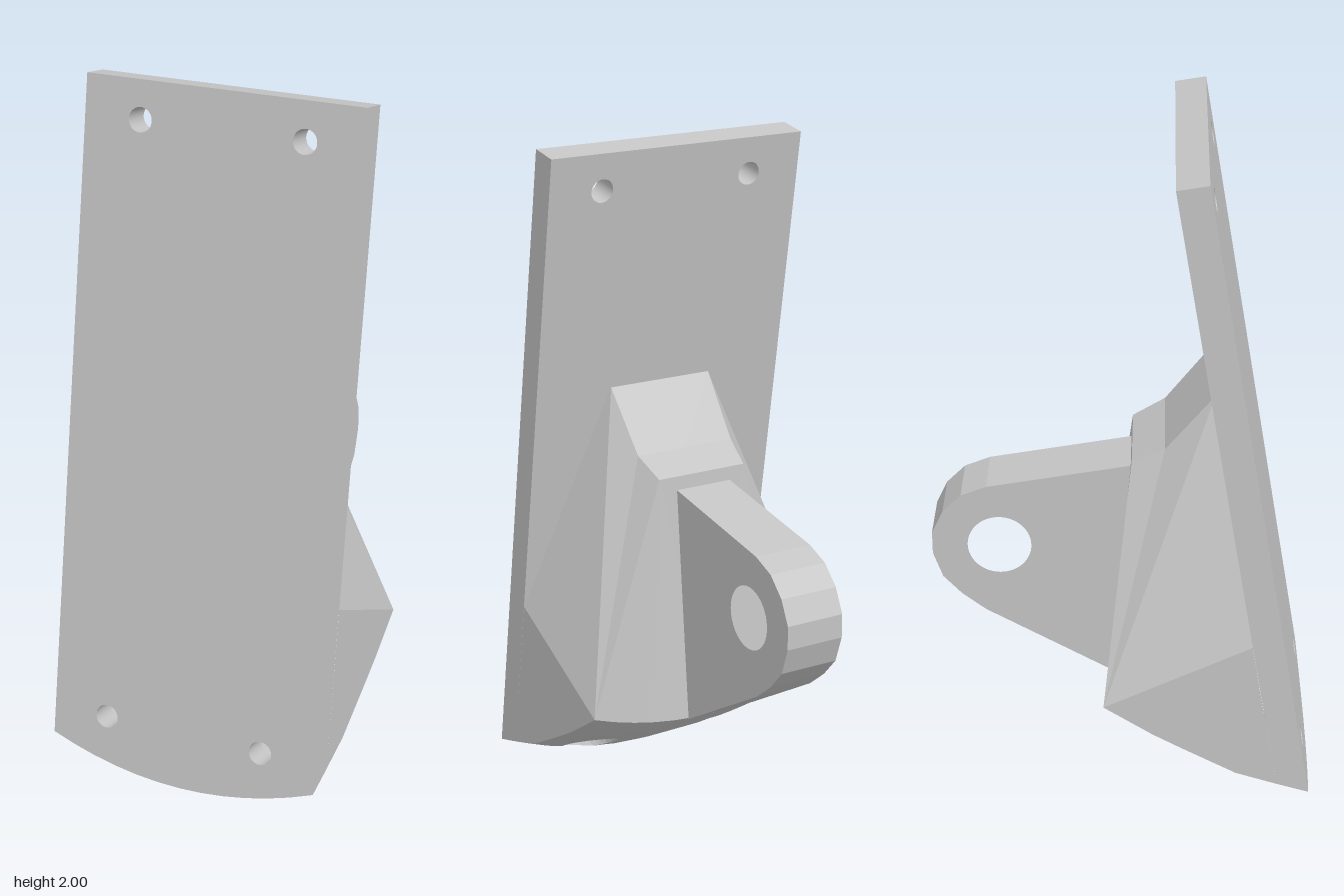
import * as THREE from 'three';

const TILT = 0.166, C = Math.cos(TILT), S = Math.sin(TILT);
const FRONT = 0.565, HALF = 0.415, THICK = 0.09, LENGTH = 2.028;
const N = 6;               // segments along each edge of the underside
const S0 = 0.0436, S1 = 0.39; // underside start (plate back) and end
const HOLE = { x: 0.245, low: 0.167, high: 1.917, r: 0.035, bore: 0.073 };

// Curved bottom edge of the plate, and depth of the underside behind the plate front
const bottom = x => 0.081 * (x / HALF) ** 2;
const PROFILE = [[0, 0], [0.093, 0.192], [0.261, 0.407], [0.39, 0.547]];
function depth(s) {
  let i = 0;
  while (i < 2 && s > PROFILE[i + 1][0]) i++;
  const [a, b] = [PROFILE[i], PROFILE[i + 1]];
  return a[1] + (b[1] - a[1]) * (s - a[0]) / (b[0] - a[0]);
}

// Point from plate coordinates: across, along the plate, behind its front
const onPlate = (x, u, w) => [x, u * C - w * S, FRONT - u * S - w * C];
const under = (x, u) => onPlate(x, u, depth(u - bottom(x)));

// Collects faces for the +x half and mirrors each one
function mirroredFaces() {
  const pos = [];
  const tri = (a, b, c) => {
    pos.push(...a, ...b, ...c);
    for (const p of [a, c, b]) pos.push(-p[0], p[1], p[2]);
  };
  const quad = (a, b, c, d) => { tri(a, b, c); tri(a, c, d); };
  const geometry = () => {
    const g = new THREE.BufferGeometry();
    g.setAttribute('position', new THREE.Float32BufferAttribute(pos, 3));
    g.computeVertexNormals();
    return g;
  };
  return { tri, quad, geometry };
}

function plateGeometry() {
  const shape = new THREE.Shape();
  shape.moveTo(-HALF, LENGTH);
  for (let i = -N; i <= N; i++) shape.lineTo(HALF * i / N, bottom(HALF * i / N));
  shape.lineTo(HALF, LENGTH);
  shape.closePath();
  for (const x of [-HOLE.x, HOLE.x]) for (const y of [HOLE.low, HOLE.high]) {
    shape.holes.push(new THREE.Path().absarc(x, y, HOLE.r, 0, Math.PI * 2, true));
  }
  const g = new THREE.ExtrudeGeometry(shape, { depth: THICK, bevelEnabled: false, curveSegments: 20 });
  g.translate(0, 0, -THICK);
  // bevel the bottom edge to follow the underside
  const p = g.attributes.position;
  for (let i = 0; i < p.count; i++) {
    if (p.getZ(i) < -0.08 && p.getY(i) < 0.09) p.setY(i, p.getY(i) + S0);
  }
  g.computeVertexNormals();
  g.rotateX(-TILT);
  g.translate(0, 0, FRONT);
  return g;
}

// Faceted block behind the plate: ridge, slanted flanks, cheeks and back
function blockGeometry() {
  const f = mirroredFaces();
  const ridge = [[0.168, 1.265, 0.26], [0.16, 1.09, 0.12], [0.145, 1.04, 0.025]];
  const mid = ridge.map(p => [0, p[1], p[2]]);
  const shoulder = [HALF, 0.585, 0.375];
  const side = [], back = [];
  for (let i = 0; i <= N; i++) {
    side.push(under(HALF, bottom(HALF) + S0 + (S1 - S0) * i / N));
    const x = HALF * i / N;
    back.push(under(x, bottom(x) + S1));
  }
  const heel = side[N];
  f.tri(ridge[0], shoulder, heel);
  for (let i = 0; i < 2; i++) {
    f.tri(ridge[i], heel, ridge[i + 1]);
    f.quad(ridge[i], ridge[i + 1], mid[i + 1], mid[i]);
  }
  for (let i = 0; i < N; i++) {
    f.tri(shoulder, side[i], side[i + 1]);
    f.tri(ridge[2], back[i + 1], back[i]);
  }
  f.tri(mid[2], ridge[2], back[0]);
  return f.geometry();
}

// Curved underside with a counterbore on each half
function undersideGeometry() {
  const f = mirroredFaces();
  const rim = [];
  const add = (tx, ts) => rim.push([HALF * tx, bottom(HALF * tx) + S0 + (S1 - S0) * ts]);
  for (let i = 0; i < N; i++) add(i / N, 0);
  for (let i = 0; i < N; i++) add(1, i / N);
  for (let i = 0; i < N; i++) add(1 - i / N, 1);
  for (let i = 0; i < N; i++) add(0, 1 - i / N);
  const circle = rim.map(([x, u]) => {
    const a = Math.atan2(u - HOLE.low, x - HOLE.x);
    return [HOLE.x + HOLE.bore * Math.cos(a), HOLE.low + HOLE.bore * Math.sin(a)];
  });
  const at = (i, t) => {
    const a = circle[i % rim.length], b = rim[i % rim.length];
    return under(a[0] + (b[0] - a[0]) * t, a[1] + (b[1] - a[1]) * t);
  };
  const floor = i => onPlate(...circle[i % rim.length], THICK);
  const rings = 3;
  for (let i = 0; i < rim.length; i++) {
    for (let k = 0; k < rings; k++) {
      const t0 = k / rings, t1 = (k + 1) / rings;
      f.quad(at(i, t1), at(i, t0), at(i + 1, t0), at(i + 1, t1));
    }
    f.quad(at(i, 0), floor(i), floor(i + 1), at(i + 1, 0));
  }
  return f.geometry();
}

// Rounded lug with a pin hole, drawn in side profile as (z, y)
function lugGeometry() {
  const outline = [[0.06, 0.99], [0.025, 1.0], [-0.4, 0.925], [-0.475, 0.895], [-0.53, 0.84],
    [-0.563, 0.77], [-0.563, 0.7], [-0.535, 0.62], [-0.48, 0.56], [-0.41, 0.505],
    [-0.04, 0.295], [0.05, 0.33]];
  const shape = new THREE.Shape(outline.map(([z, y]) => new THREE.Vector2(-z, y)));
  shape.holes.push(new THREE.Path().absarc(0.365, 0.73, 0.094, 0, Math.PI * 2, true));
  const g = new THREE.ExtrudeGeometry(shape, { depth: 0.182, bevelEnabled: false, curveSegments: 28 });
  g.rotateY(Math.PI / 2);
  g.translate(-0.095, 0, 0);
  return g;
}

export function createModel() {
  const grey = new THREE.MeshStandardMaterial({ color: 0xc4c4c4, flatShading: true });
  grey.name = 'light grey';
  const model = new THREE.Group();
  model.name = 'mountingBracket';
  const parts = {
    plate: plateGeometry(),
    supportBlock: blockGeometry(),
    underside: undersideGeometry(),
    lug: lugGeometry(),
  };
  for (const [name, geometry] of Object.entries(parts)) {
    const mesh = new THREE.Mesh(geometry, grey);
    mesh.name = name;
    model.add(mesh);
  }
  return model;
}
